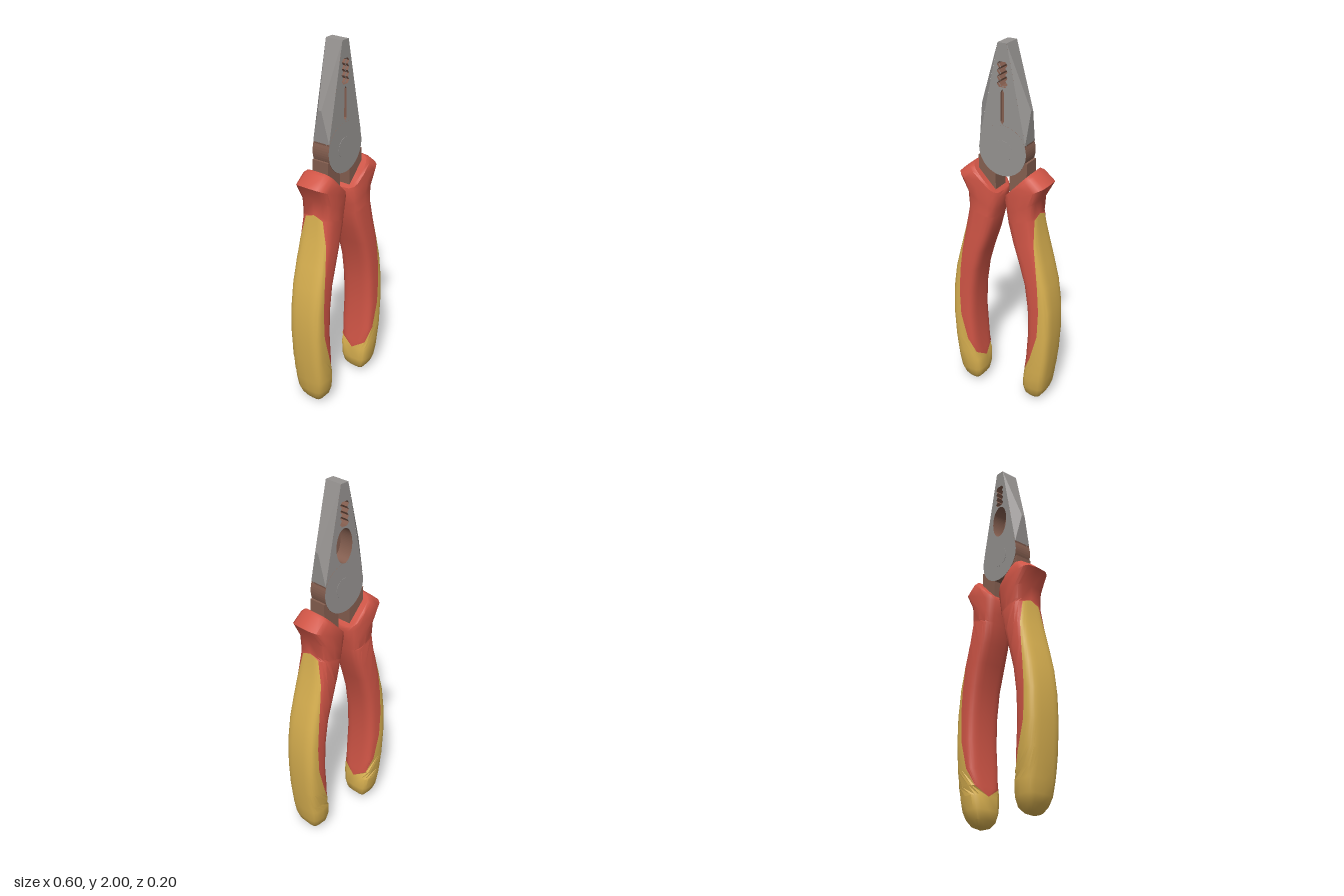
import * as THREE from 'three';
import { toCreasedNormals } from 'three/addons/utils/BufferGeometryUtils.js';

const mat = (name, color) => Object.assign(new THREE.MeshStandardMaterial({ color }), { name });

export function createModel() {
  const steel = mat('steel', 0x969391);
  const bareMetal = mat('brown metal', 0x855f50);
  const red = mat('red grip', 0xd05546);
  const yellow = mat('yellow grip', 0xd8b050);

  const model = new THREE.Group();
  model.name = 'pliers';
  const add = (parent, name, geometry, material) => {
    const mesh = new THREE.Mesh(geometry, material);
    mesh.name = name;
    parent.add(mesh);
    return mesh;
  };
  const points = list => list.map(([x, y]) => new THREE.Vector2(x, y));
  const slab = (shape, z0, z1) =>
    new THREE.ExtrudeGeometry(shape, { depth: z1 - z0, bevelEnabled: false, curveSegments: 32 }).translate(0, 0, z0);

  // Toothed opening between the jaws
  const teeth = [];
  for (let i = 0; i <= 8; i++) teeth.push([i % 2 ? 0.03 : 0.018, 1.78 + i * 0.016]);
  const toothed = [...teeth, ...[...teeth].reverse().map(([x, y]) => [-x, y])];

  const jawShape = hole => {
    const shape = new THREE.Shape(points([
      [0.025, 1.999], [-0.025, 1.999], [-0.13, 1.5], [-0.12, 1.44], [0.12, 1.44], [0.13, 1.5],
    ]));
    shape.holes.push(new THREE.Path(points(toothed)), hole);
    return shape;
  };

  // Narrow cutter slit in front, wide pipe grip behind
  const slit = new THREE.Path(points([[0, 1.59], [0.009, 1.605], [0.009, 1.755], [0, 1.77], [-0.009, 1.755], [-0.009, 1.605]]));
  const pipeGrip = new THREE.Path();
  pipeGrip.absellipse(0, 1.678, 0.055, 0.093, 0, Math.PI * 2);
  add(model, 'jawFront', slab(jawShape(slit), 0.035, 0.05), [steel, bareMetal]);
  add(model, 'jawBack', slab(jawShape(pipeGrip), -0.05, 0.03), [steel, bareMetal]);
  add(model, 'cutterFloor', new THREE.BoxGeometry(0.13, 0.195, 0.005).translate(0, 1.678, 0.0325), bareMetal);
  add(model, 'jawTip', new THREE.BoxGeometry(0.05, 0.004, 0.1).translate(0, 1.998, 0), steel);

  // Round pivot joint and rivet
  const disc = new THREE.Shape().absarc(0, 1.45, 0.135, 0, Math.PI * 2);
  add(model, 'pivotJoint', slab(disc, -0.051, 0.051), [steel, bareMetal]);
  add(model, 'rivet', new THREE.CylinderGeometry(0.055, 0.055, 0.105, 24).rotateX(Math.PI / 2).translate(0, 1.45, 0), steel);

  // Faceted outer cheek of one jaw
  const A = [0.025, 2, 0.05], B = [0.025, 2, -0.05], C = [0.13, 1.5, 0.05], D = [0.13, 1.5, -0.05];
  const M = [0.14, 1.67, 0.01], N = [0.14, 1.67, -0.01];
  const cheek = new THREE.BufferGeometry();
  cheek.setAttribute('position', new THREE.Float32BufferAttribute(
    [A, C, M, A, M, N, A, N, B, B, N, D, C, D, N, C, N, M].flat(), 3));
  cheek.computeVertexNormals();

  // Grip cross-sections: inner x, y, outer x, y, half depth, colour border (1 all red, -1 all yellow)
  const sections = [
    [0.1, 1.29, 0.1, 1.29, 0, 1],
    [0.035, 1.225, 0.165, 1.36, 0.085, 1],
    [0.02, 1.213, 0.187, 1.352, 0.096, 1],
    [0.015, 1.19, 0.25, 1.3, 0.1, 1],
    [0.03, 1.12, 0.2, 1.21, 0.096, 1],
    [0.039, 1.075, 0.193, 1.13, 0.095, 1],
    [0.04, 1.07, 0.194, 1.11, 0.095, 0.96],
    [0.07, 0.96, 0.22, 0.98, 0.097, 0.77],
    [0.105, 0.86, 0.25, 0.86, 0.1, 0.6],
    [0.14, 0.74, 0.28, 0.74, 0.1, 0.35],
    [0.16, 0.6, 0.299, 0.6, 0.1, 0.2],
    [0.165, 0.45, 0.302, 0.45, 0.1, 0.05],
    [0.155, 0.3, 0.292, 0.3, 0.1, -0.4],
    [0.143, 0.21, 0.282, 0.21, 0.097, -0.85],
    [0.135, 0.16, 0.275, 0.16, 0.095, -1],
    [0.13, 0.09, 0.265, 0.09, 0.085, -1],
    [0.14, 0.04, 0.25, 0.05, 0.07, -1],
    [0.165, 0.012, 0.225, 0.015, 0.045, -1],
    [0.195, 0, 0.195, 0, 0, -1],
  ];
  const power = 0.55, half = 16, ring = half * 2;
  const bend = v => Math.sign(v) * Math.abs(v) ** power;
  const position = [], outerFaces = [], innerFaces = [];
  sections.forEach(([xi, yi, xo, yo, h, border], i) => {
    const a = Math.acos(Math.sign(border) * Math.abs(border) ** (1 / power));
    for (let j = 0; j < ring; j++) {
      const angle = j < half
        ? -a + (2 * a * j) / half
        : a + ((2 * Math.PI - 2 * a) * (j - half)) / half;
      const t = (bend(Math.cos(angle)) + 1) / 2;
      position.push(xi + (xo - xi) * t, yi + (yo - yi) * t, h * bend(Math.sin(angle)));
      if (i === sections.length - 1) continue;
      const p = i * ring + j, q = i * ring + ((j + 1) % ring);
      (j < half ? outerFaces : innerFaces).push(p, q, p + ring, q, q + ring, p + ring);
    }
  });
  const loft = new THREE.BufferGeometry();
  loft.setAttribute('position', new THREE.Float32BufferAttribute(position, 3));
  loft.setIndex([...outerFaces, ...innerFaces]);
  loft.addGroup(0, outerFaces.length, 0);
  loft.addGroup(outerFaces.length, innerFaces.length, 1);
  const grip = toCreasedNormals(loft, 0.7);

  // Mirrored halves: cheek, shank and two-colour grip
  for (const [name, s] of [['left', 1], ['right', -1]]) {
    const side = new THREE.Group();
    side.name = name + 'Half';
    side.scale.x = s;
    add(side, name + 'JawCheek', cheek, steel);
    add(side, name + 'Shank', new THREE.BoxGeometry(0.1, 0.24, 0.098).translate(0.09, 1.285, 0), bareMetal);
    add(side, name + 'Grip', grip, [yellow, red]);
    model.add(side);
  }
  return model;
}
